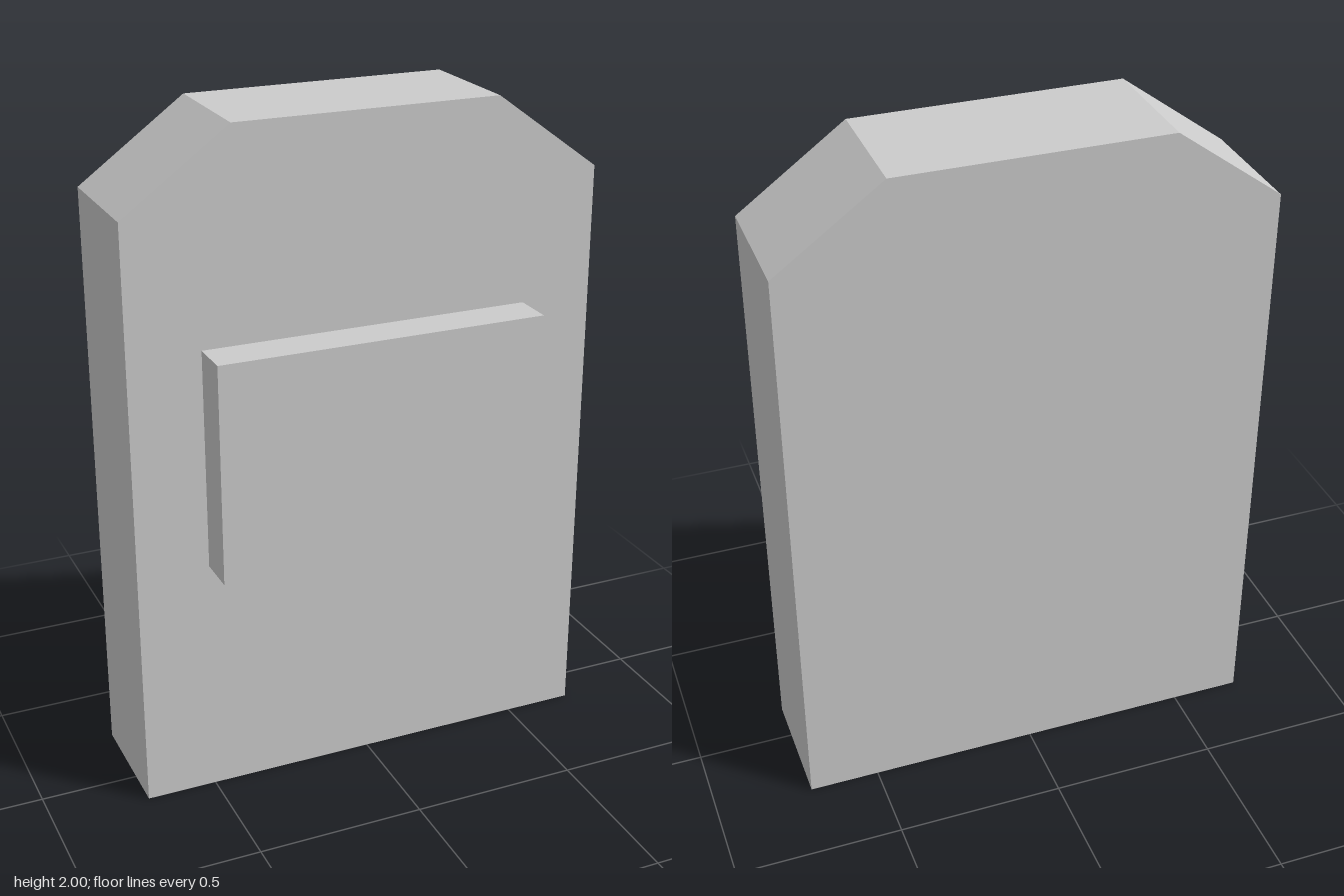
import * as THREE from 'three';

export function createModel() {
  const model = new THREE.Group();
  const material = new THREE.MeshStandardMaterial({ color: 0xcccccc, flatShading: true });

  // Upright slab with chamfered shoulders
  const halfWidth = 0.71, halfTop = 0.395, shoulder = 1.77, height = 2;
  const back = -0.25, front = 0.125;
  const outline = new THREE.Shape([
    [-halfWidth, 0], [halfWidth, 0], [halfWidth, shoulder],
    [halfTop, height], [-halfTop, height], [-halfWidth, shoulder],
  ].map(([x, y]) => new THREE.Vector2(x, y)));
  const slabGeometry = new THREE.ExtrudeGeometry(outline, { depth: front - back, bevelEnabled: false });
  slabGeometry.translate(0, 0, back);
  const slab = new THREE.Mesh(slabGeometry, material);
  slab.name = 'slab';
  model.add(slab);

  // Raised plaque on the front face
  const plaqueDepth = 0.125;
  const plaque = new THREE.Mesh(new THREE.BoxGeometry(0.988, 0.655, plaqueDepth), material);
  plaque.name = 'plaque';
  plaque.position.set(-0.002, 1.058, front + plaqueDepth / 2);
  model.add(plaque);

  return model;
}
